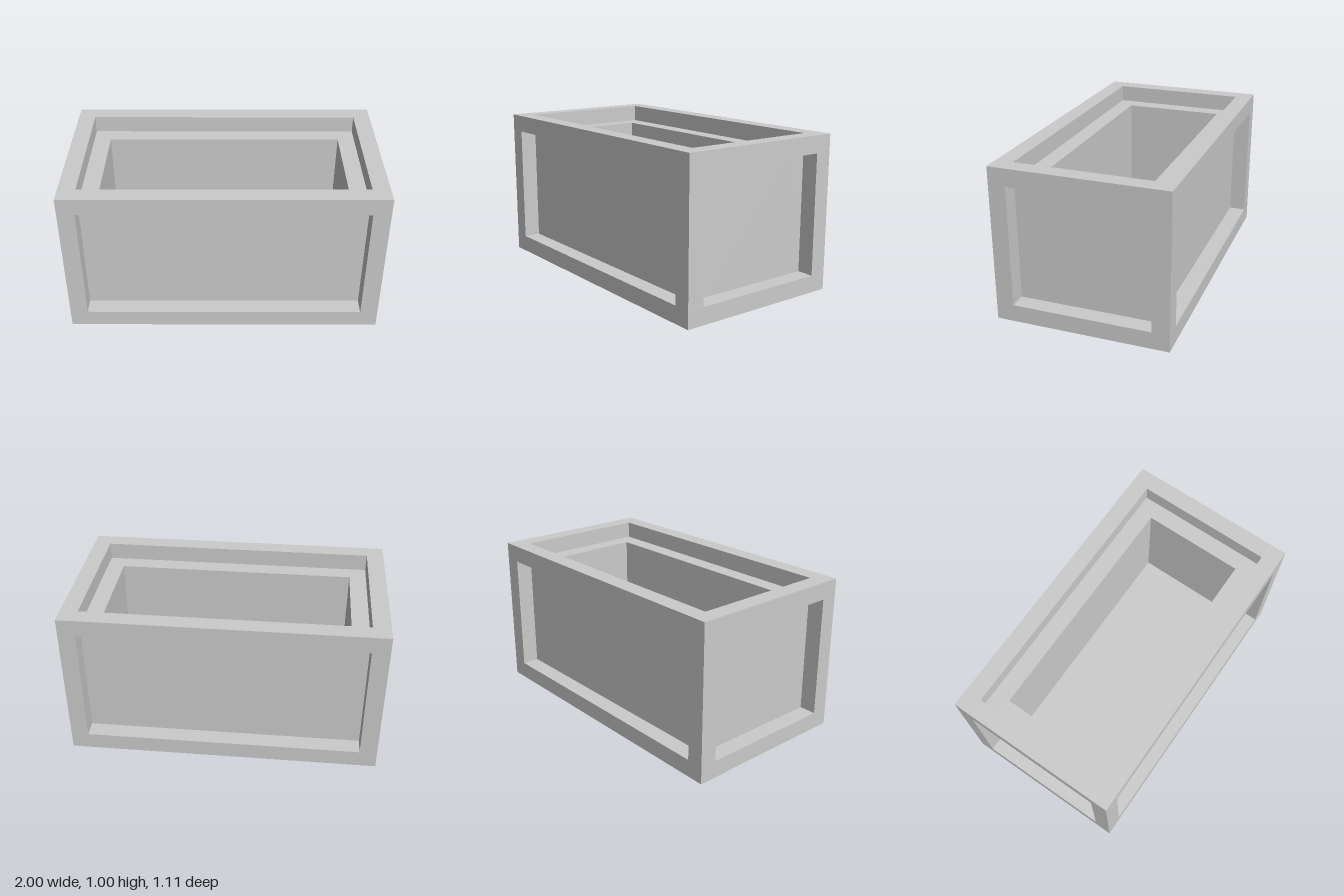
import * as THREE from 'three';

const U = 1 / 9; // one block

export function createModel() {
  const model = new THREE.Group();
  model.name = 'planterCrate';
  const material = new THREE.MeshStandardMaterial({ color: 0xcccccc, flatShading: true });

  // Box given by size and centre, in blocks
  const box = (parent, name, [w, h, d], [x, y, z]) => {
    const mesh = new THREE.Mesh(new THREE.BoxGeometry(w * U, h * U, d * U), material);
    mesh.position.set(x * U, y * U, z * U);
    mesh.name = name;
    parent.add(mesh);
  };
  const group = (name) => {
    const g = new THREE.Group();
    g.name = name;
    model.add(g);
    return g;
  };

  // Outer frame: posts at the corners, rails along the top and bottom
  const frame = group('frame');
  for (const s of [-1, 1]) {
    for (const t of [-1, 1]) box(frame, 'cornerPost', [1, 7, 1], [8.5 * s, 4.5, 4.5 * t]);
    for (const [name, y] of [['bottom', 0.5], ['top', 8.5]]) {
      box(frame, name + 'LongRail', [18, 1, 1], [0, y, 4.5 * s]);
      box(frame, name + 'ShortRail', [1, 1, 8], [8.5 * s, y, 0]);
    }
  }

  // Recessed walls, ending one block below the rim
  const walls = group('walls');
  for (const s of [-1, 1]) {
    box(walls, 'longWall', [16, 7, 1], [0, 4.5, 3.5 * s]);
    box(walls, 'shortWall', [1, 7, 6], [7.5 * s, 4.5, 0]);
  }

  // Floor, raised one block
  box(model, 'floor', [14, 1, 6], [0, 1.5, 0]);

  // Underside bracing: stepped diagonals, a full cross between two half crosses
  const braces = group('undersideBraces');
  for (const s of [-1, 1]) {
    for (const t of [-1, 1]) {
      for (let k = 0; k < 4; k++) {
        box(braces, 'crossBlock', [1, 1, 1], [(0.5 + k) * s, 0.5, (0.5 + k) * t]);
        box(braces, 'halfCrossBlock', [1, 1, 1], [(7.5 - k) * s, 0.5, (3.5 - k) * t]);
      }
    }
  }
  return model;
}
